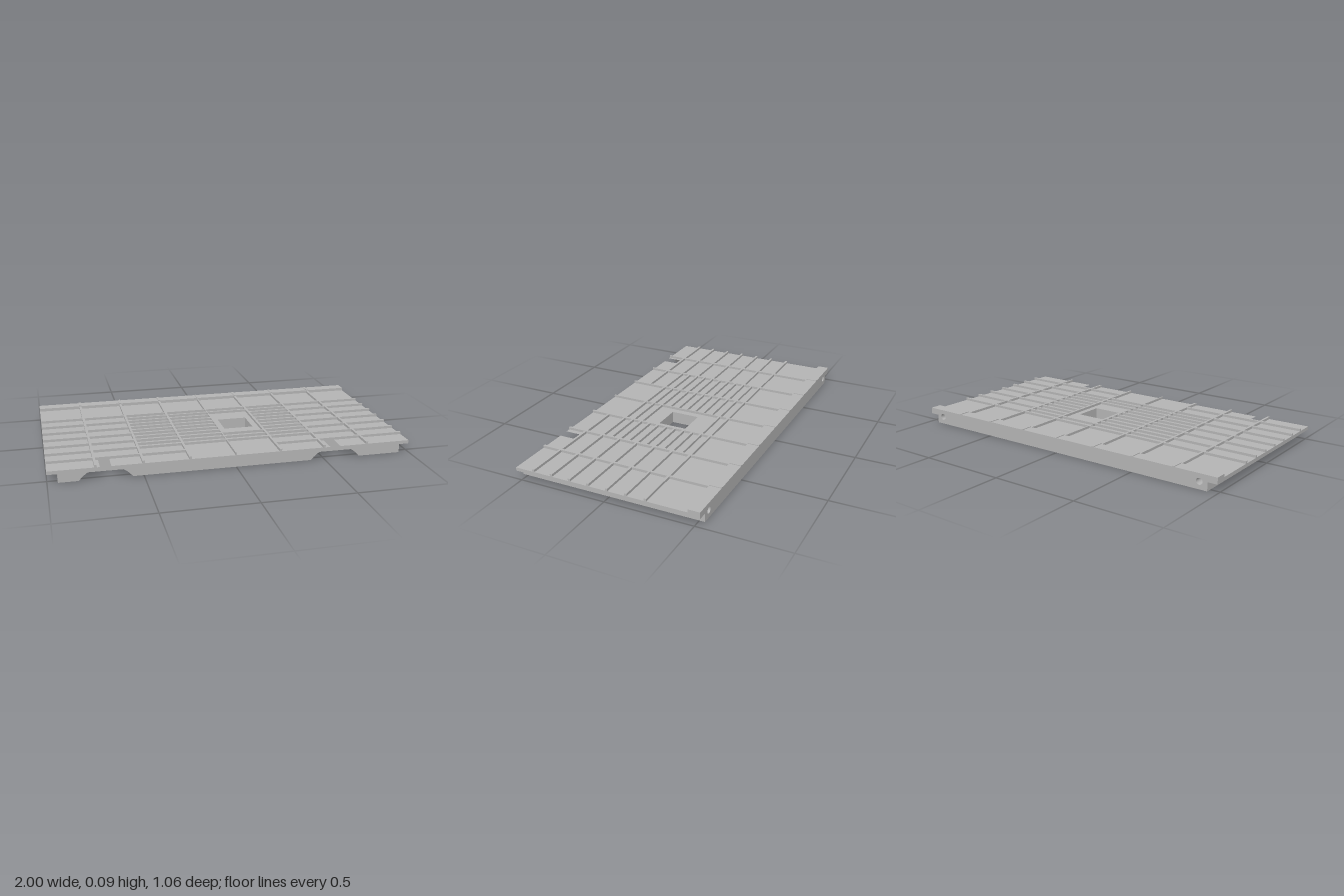
import * as THREE from 'three';

const BASE = 0.945, LEDGE = 0.048, TOP = 0.067, RIB_TOP = 0.081;
const LIP_TOP = 0.084, LIP_RIB_TOP = 0.088;
const BACK = -0.53, LIP = -0.463, SLOT = 0.425, FRONT = 0.53;
const RIB = 0.013;

export function createModel() {
  const group = new THREE.Group();
  const grey = new THREE.MeshStandardMaterial({ color: 0xb3b3b3 });
  grey.name = 'plain grey';

  const add = (name, geometry, parent = group) => {
    const mesh = new THREE.Mesh(geometry, grey);
    mesh.name = name;
    parent.add(mesh);
    return mesh;
  };
  const box = (name, x0, x1, y0, y1, z0, z1, parent) => {
    const g = new THREE.BoxGeometry(x1 - x0, y1 - y0, z1 - z0);
    g.translate((x0 + x1) / 2, (y0 + y1) / 2, (z0 + z1) / 2);
    return add(name, g, parent);
  };
  // Front-on profile extruded between two depths
  const slice = (name, shape, z0, z1) => {
    const g = new THREE.ExtrudeGeometry(shape, { depth: z1 - z0, bevelEnabled: false, curveSegments: 20 });
    g.translate(0, 0, z0);
    return add(name, g);
  };
  const shapeOf = (pts) => new THREE.Shape(pts.map(([x, y]) => new THREE.Vector2(x, y)));

  // Main deck: narrower base and overhanging plate, both pierced by the square hatch
  const pierced = (name, halfWidth, y0, y1) => {
    const shape = shapeOf([[-halfWidth, -SLOT], [halfWidth, -SLOT], [halfWidth, -LIP], [-halfWidth, -LIP]]);
    shape.holes.push(shapeOf([[0.04, -0.105], [0.04, 0.06], [0.21, 0.06], [0.21, -0.105]]));
    const g = new THREE.ExtrudeGeometry(shape, { depth: y1 - y0, bevelEnabled: false });
    g.rotateX(-Math.PI / 2);
    g.translate(0, y0, 0);
    add(name, g);
  };
  pierced('deckBase', BASE, 0, LEDGE);
  pierced('deckPlate', 1, LEDGE, TOP);

  // Back strip: raised lip with a round socket near each end
  const lip = shapeOf([[-BASE, 0], [BASE, 0], [BASE, LEDGE], [1, LEDGE], [1, LIP_TOP],
    [-1, LIP_TOP], [-1, LEDGE], [-BASE, LEDGE]]);
  for (const x of [-0.9, 0.9]) {
    const socket = new THREE.Path();
    socket.absarc(x, 0.042, 0.018, 0, Math.PI * 2, true);
    lip.holes.push(socket);
  }
  slice('backLip', lip, BACK, LIP);

  // Front strip: three pieces separated by two arched cut-outs that break through the top
  const cy = -0.1065, radius = 0.176;
  const arc = (cx, side) => {
    const low = Math.acos(-cy / radius), high = Math.acos((TOP - cy) / radius);
    return Array.from({ length: 13 }, (_, i) => {
      const a = low + (high - low) * i / 12;
      return [cx + side * radius * Math.sin(a), cy + radius * Math.cos(a)];
    });
  };
  const arches = [-0.698, 0.564];
  const leftEnd = [[-1, TOP], [-1, LEDGE], [-BASE, LEDGE], [-BASE, 0]];
  const rightEnd = [[BASE, 0], [BASE, LEDGE], [1, LEDGE], [1, TOP]];
  slice('frontRightPiece', shapeOf([...leftEnd, ...arc(arches[0], -1)]), SLOT, FRONT);
  slice('frontMiddlePiece', shapeOf([...arc(arches[0], 1).reverse(), ...arc(arches[1], -1)]), SLOT, FRONT);
  slice('frontLeftPiece', shapeOf([...arc(arches[1], 1).reverse(), ...rightEnd]), SLOT, FRONT);

  const ribs = new THREE.Group();
  ribs.name = 'ribs';
  group.add(ribs);

  // Long ribs running front to back, continuing over the lip
  for (let i = -3; i <= 3; i++) {
    const x = i * 0.25, w = (i === 0 ? 0.006 : RIB) / 2;
    box('longRib', x - w, x + w, TOP - 0.005, RIB_TOP, LIP, FRONT, ribs);
    box('lipRib', x - w, x + w, LIP_TOP - 0.005, LIP_RIB_TOP, BACK, LIP, ribs);
  }

  // Cross ribs: wide spacing on the outer bays, half spacing in the centre
  const crossRib = (x0, x1, z) =>
    box('crossRib', x0, x1, TOP - 0.005, RIB_TOP, z - RIB / 2, z + RIB / 2, ribs);
  for (let i = 0; i <= 12; i++) {
    const z = -0.235 + i * 0.0546;
    if (i % 2 === 0) {
      crossRib(-1, -0.5, z);
      crossRib(0.5, 1, z);
    }
    if (i !== 11) {
      crossRib(-0.5, -0.25, z);
      crossRib(0.25, 0.5, z);
    }
    if (i <= 10) crossRib(-0.25, 0, z);
    if (i <= 1 || (i >= 8 && i <= 10)) crossRib(0, 0.25, z);
  }
  return group;
}
